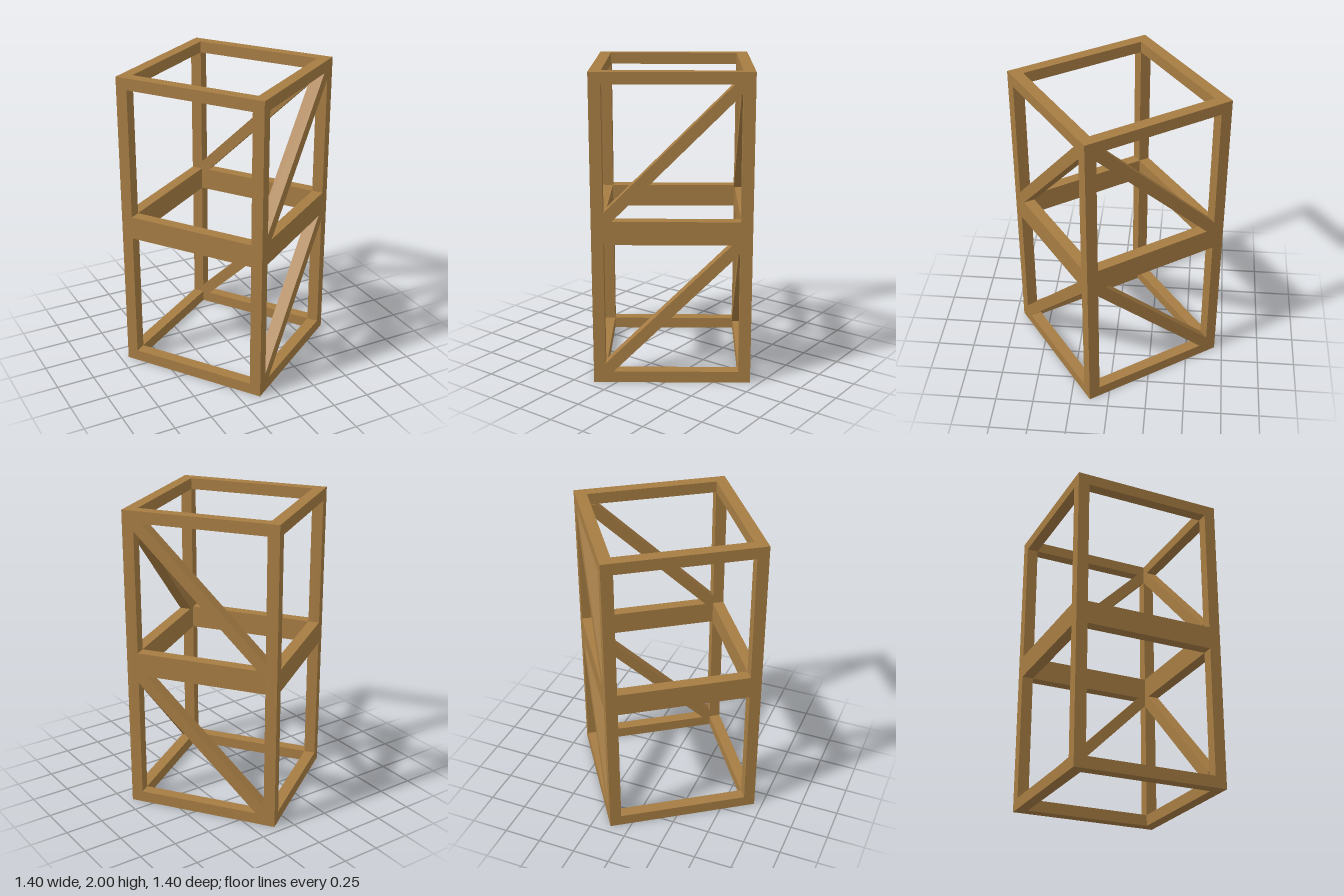
import * as THREE from 'three';

const SIDE = 1.003, HEIGHT = 2, BAR = 0.075;
const HALF = SIDE / 2, INNER = HALF - BAR, CELL = HEIGHT / 2;

export function createModel() {
  const wood = new THREE.MeshStandardMaterial({ color: 0xa67c43 });
  wood.name = 'wood';
  const model = new THREE.Group();
  model.name = 'timberTower';

  const add = (name, geometry, parent, x, y, z) => {
    const mesh = new THREE.Mesh(geometry, wood);
    mesh.name = name;
    mesh.position.set(x, y, z);
    parent.add(mesh);
  };

  // Brace outline: a 45 degree bar trimmed to the opening between posts and beams
  const low = BAR, high = CELL - BAR, cut = BAR / Math.SQRT2;
  const outline = new THREE.Shape([
    [-INNER, low], [-INNER + cut, low], [INNER, high - cut],
    [INNER, high], [INNER - cut, high], [-INNER, low + cut],
  ].map(([x, y]) => new THREE.Vector2(x, y)));
  const depth = BAR + 0.006;
  const brace = new THREE.ExtrudeGeometry(outline, { depth, bevelEnabled: false });
  const mirrored = brace.clone().rotateY(Math.PI).translate(0, 0, depth);

  // Four identical sides, each with one corner post and its beams
  for (let i = 0; i < 4; i++) {
    const side = new THREE.Group();
    side.name = ['frontSide', 'leftSide', 'backSide', 'rightSide'][i];
    side.rotation.y = i * Math.PI / 2;
    model.add(side);

    const mid = HALF - BAR / 2;
    add('cornerPost', new THREE.BoxGeometry(BAR, HEIGHT, BAR), side, mid, CELL, mid);
    for (const [name, y, h] of [
      ['bottomBeam', BAR / 2, BAR],
      ['middleBeam', CELL, BAR * 2],
      ['topBeam', HEIGHT - BAR / 2, BAR],
    ]) add(name, new THREE.BoxGeometry(INNER * 2, h, BAR), side, 0, y, mid);

    // Diagonal braces on two neighbouring sides, rising to their shared post
    if (i < 2) {
      for (const y of [0, CELL]) {
        add('diagonalBrace', i === 0 ? brace : mirrored, side, 0, y, HALF - depth);
      }
    }
  }

  model.rotation.y = THREE.MathUtils.degToRad(35);
  return model;
}
